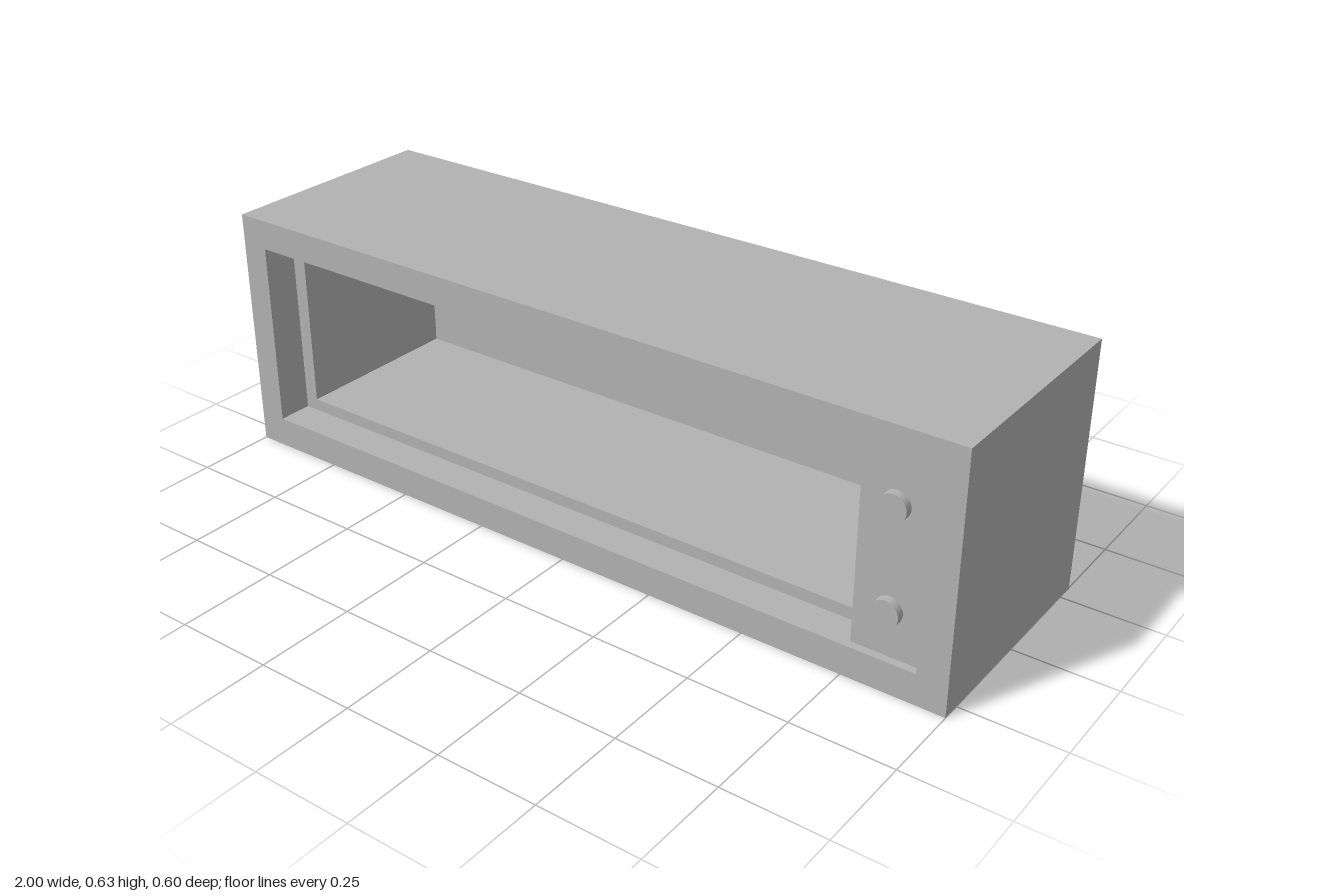
import * as THREE from 'three';

const W = 2, H = 0.627, D = 0.595;
const FRONT = D / 2;

// Counter-clockwise rectangle traced onto a Shape or Path
function rect(path, x0, y0, x1, y1) {
  path.moveTo(x0, y0);
  path.lineTo(x1, y0);
  path.lineTo(x1, y1);
  path.lineTo(x0, y1);
  path.closePath();
  return path;
}

export function createModel() {
  const group = new THREE.Group();
  const grey = new THREE.MeshStandardMaterial({ color: 0xb2b2b2 });
  grey.name = 'grey';

  function add(name, geometry, x, y, z) {
    const mesh = new THREE.Mesh(geometry, grey);
    mesh.name = name;
    mesh.position.set(x, y, z);
    group.add(mesh);
    return mesh;
  }

  // A slice of the casing with a rectangular opening, from depth d0 to d1 behind the front
  function slice(name, opening, d0, d1) {
    const shape = rect(new THREE.Shape(), -W / 2, 0, W / 2, H);
    shape.holes.push(rect(new THREE.Path(), ...opening));
    const geometry = new THREE.ExtrudeGeometry(shape, { depth: d1 - d0, bevelEnabled: false });
    add(name, geometry, 0, 0, FRONT - d1);
  }

  const lipDepth = 0.09, cavityDepth = 0.55;
  const panelLeft = 0.76, panelRight = 0.926;

  // Casing: front frame, narrower cavity behind it, closed back
  slice('frontFrame', [-0.928, 0.077, panelRight, 0.552], 0, lipDepth);
  slice('cavityWalls', [-0.891, 0.108, panelLeft, 0.522], lipDepth, cavityDepth);
  add('backWall', new THREE.BoxGeometry(W, H, D - cavityDepth), 0, H / 2, -(cavityDepth / 2));

  // Control panel, set slightly behind the frame
  const panelInset = 0.02, panelDepth = lipDepth - panelInset;
  add('controlPanel', new THREE.BoxGeometry(panelRight - panelLeft, 0.475, panelDepth),
    (panelLeft + panelRight) / 2, 0.3145, FRONT - panelInset - panelDepth / 2);

  // Two round knobs ending level with the frame
  for (const [name, y] of [['upperKnob', 0.44], ['lowerKnob', 0.19]]) {
    const knob = new THREE.CylinderGeometry(0.033, 0.033, panelInset, 32).rotateX(Math.PI / 2);
    add(name, knob, 0.843, y, FRONT - panelInset / 2);
  }

  return group;
}
